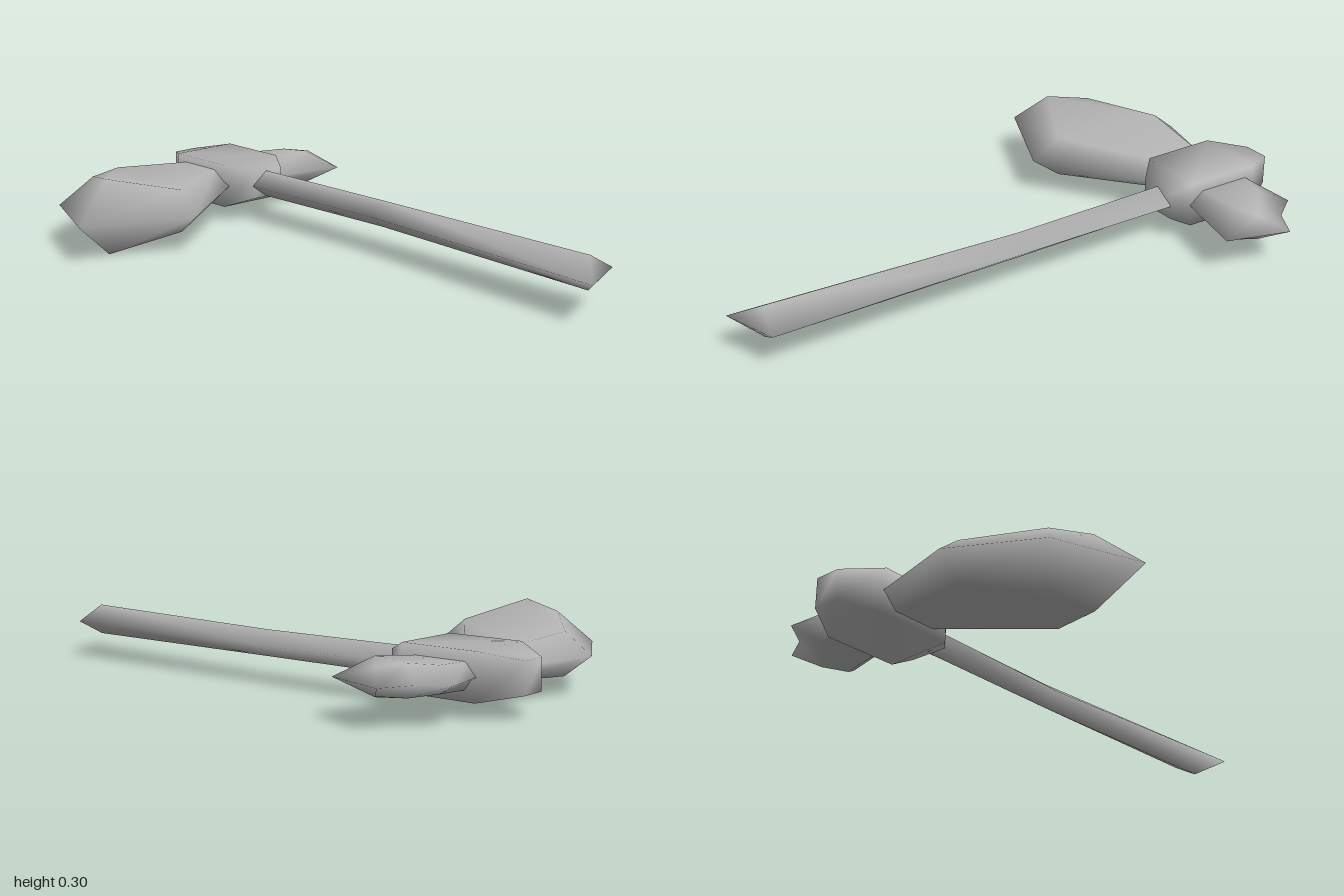
import * as THREE from 'three';

const MID = 0.15; // height of the symmetry plane

// Smooth closed shell through rings of [x, y, z], with both ends capped in strips
function shell(name, rings, material) {
  const n = rings[0].length;
  const last = (rings.length - 1) * n;
  const index = [];
  for (let r = 0; r < rings.length - 1; r++) {
    for (let i = 0; i < n; i++) {
      const a = r * n + i, b = r * n + (i + 1) % n;
      index.push(a, b, b + n, a, b + n, a + n);
    }
  }
  for (let i = 0; i < n / 2 - 1; i++) {
    const a = i, b = i + 1, c = n - 2 - i, d = n - 1 - i;
    index.push(last + a, last + b, last + c, last + a, last + c, last + d);
    index.push(a, c, b, a, d, c);
  }
  const geometry = new THREE.BufferGeometry();
  geometry.setAttribute('position', new THREE.Float32BufferAttribute(rings.flat(2), 3));
  geometry.setIndex(index);
  geometry.computeVertexNormals();
  const mesh = new THREE.Mesh(geometry, material);
  mesh.name = name;
  return mesh;
}

// Ring from [x, z, rise] points, above (+1) or below (-1) the symmetry plane
const level = (points, side) => points.map(([x, z, rise = 0]) => [x, MID + side * rise, z]);

// Sharp rim on the symmetry plane with the same raised face on both sides
const lens = (name, rim, face, material) =>
  shell(name, [level(face, -1), level(rim, 0), level(face, 1)], material);

export function createModel() {
  const stone = new THREE.MeshStandardMaterial({ color: 0xb4b4b4 });
  stone.name = 'plain grey';
  const group = new THREE.Group();
  group.name = 'axe';

  // Head block around the top of the handle
  const head = [
    [-0.57, -0.82, 0.06], [-0.55, -0.65, 0.09], [-0.35, -0.42, 0.09], [-0.23, -0.41, 0.055],
    [-0.11, -0.52, 0.055], [-0.13, -0.60, 0.09], [-0.33, -0.84, 0.09], [-0.49, -0.89, 0.06],
  ];
  group.add(shell('head', [level(head, -1), level(head, 1)], stone));

  // Broad blade
  group.add(lens('blade',
    [[-0.51, -0.68], [-0.87, -0.49], [-1, -0.14], [-0.88, 0.21], [-0.45, 0.07], [-0.32, -0.45]],
    [[-0.50, -0.62, 0.06], [-0.79, -0.42, 0.085], [-0.86, -0.12, 0.12],
      [-0.79, 0.05, 0.15], [-0.51, -0.03, 0.085], [-0.39, -0.47, 0.06]],
    stone));

  // Small rear blade
  group.add(lens('rearBlade',
    [[-0.17, -0.57], [0.145, -0.74], [0.04, -0.98], [-0.09, -0.95], [-0.22, -0.98], [-0.35, -0.82]],
    [[-0.17, -0.64, 0.05], [0, -0.76, 0.072], [0.02, -0.86, 0.05],
      [-0.09, -0.86, 0.06], [-0.2, -0.86, 0.05], [-0.31, -0.80, 0.05]],
    stone));

  // Diamond-section handle: right edge, ridge, left edge and ridge height per station
  const stations = [
    [[-0.18, -0.60], [-0.25, -0.55], [-0.30, -0.49], 0.055],
    [[-0.11, -0.52], [-0.17, -0.46], [-0.23, -0.41], 0.055],
    [[0.32, -0.01], [0.27, 0.04], [0.22, 0.09], 0.053],
    [[0.995, 0.77], [0.90, 0.83], [0.88, 0.97], 0.063],
  ];
  const sections = stations.map(([r, m, l, h]) => [
    [r[0], MID, r[1]], [m[0], MID + h, m[1]], [l[0], MID, l[1]], [m[0], MID - h, m[1]],
  ]);
  group.add(shell('handle', sections, stone));

  return group;
}
